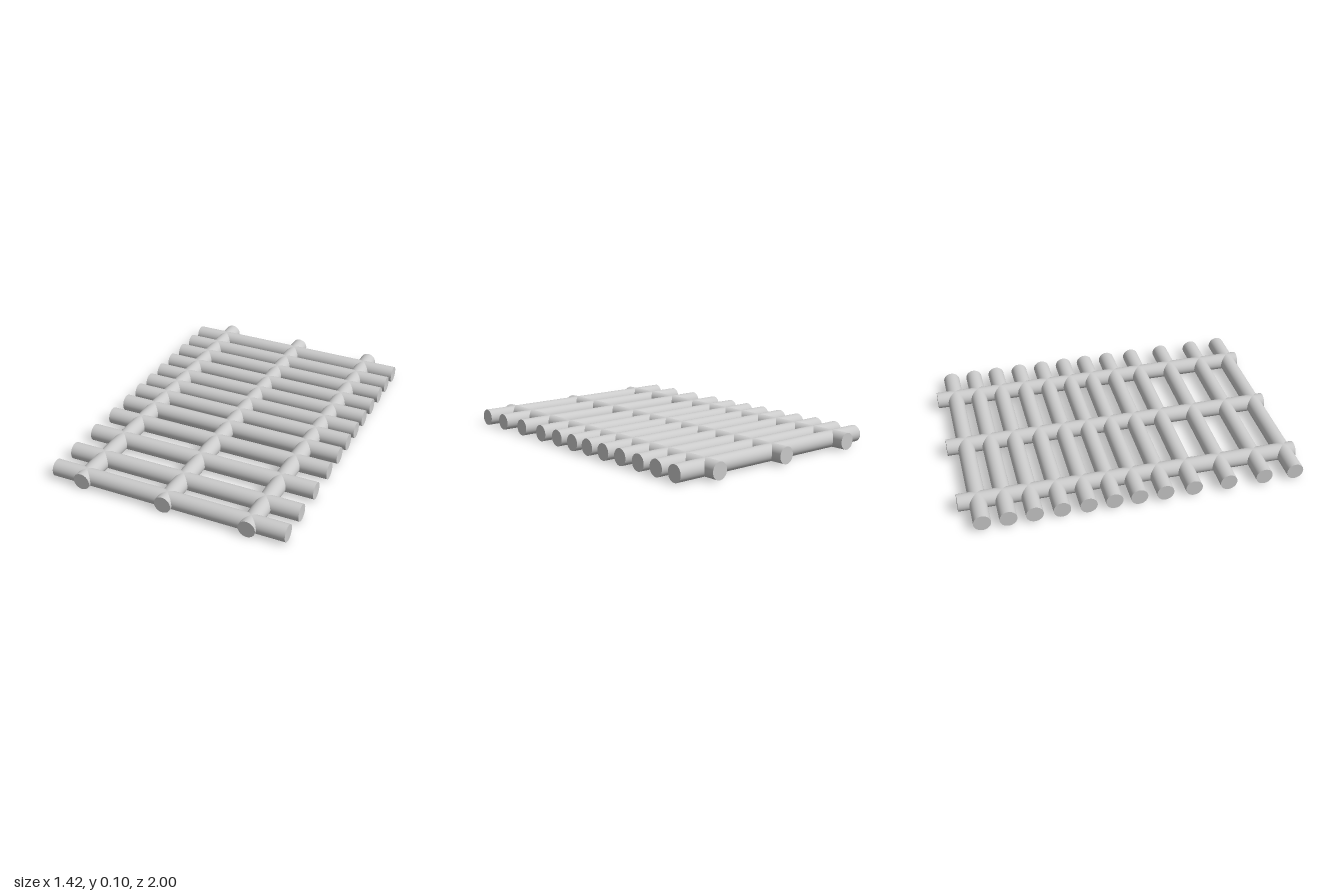
import * as THREE from 'three';

const RADIUS = 0.0495;

export function createModel() {
  const group = new THREE.Group();
  const material = new THREE.MeshStandardMaterial({ color: 0xcccccc });

  // Three long rails running front to back
  const railGeometry = new THREE.CylinderGeometry(RADIUS, RADIUS, 2, 48).rotateX(Math.PI / 2);
  [-0.51, 0, 0.498].forEach((x, i) => {
    const rail = new THREE.Mesh(railGeometry, material);
    rail.name = `rail${i + 1}`;
    rail.position.set(x, RADIUS, 0);
    group.add(rail);
  });

  // Cross bars, closer together towards the back
  const barGeometry = new THREE.CylinderGeometry(RADIUS, RADIUS, 1.418, 48).rotateZ(Math.PI / 2);
  const barPositions = [
    0.936, 0.747, 0.532, 0.324, 0.155, 0.002,
    -0.142, -0.29, -0.441, -0.595, -0.742, -0.887,
  ];
  barPositions.forEach((z, i) => {
    const bar = new THREE.Mesh(barGeometry, material);
    bar.name = `crossBar${i + 1}`;
    bar.position.set(0, RADIUS, z);
    group.add(bar);
  });

  return group;
}
